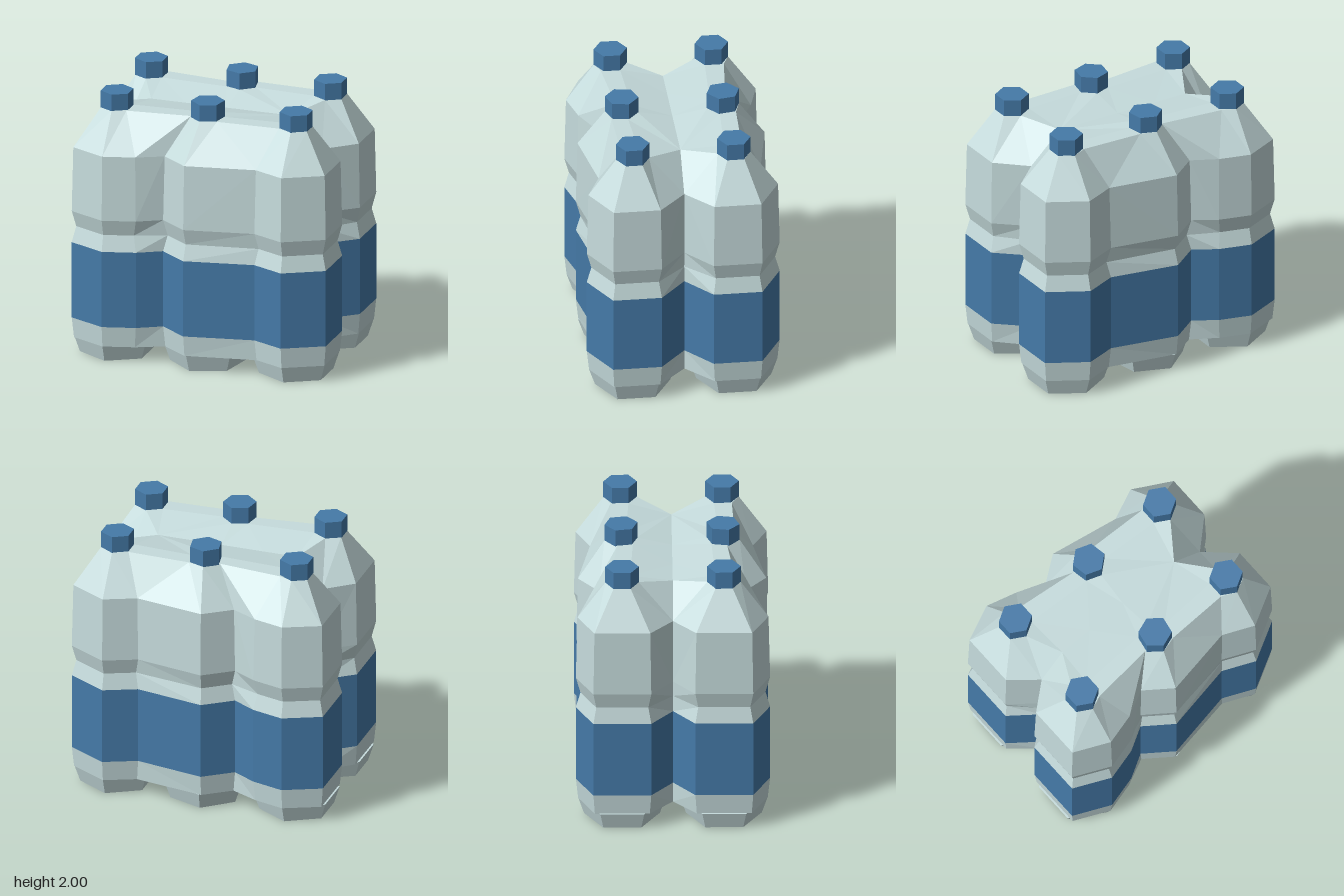
import * as THREE from 'three';

const wrap = new THREE.MeshStandardMaterial({ color: 0xc6dcdd, flatShading: true });
wrap.name = 'pale plastic';
const blue = new THREE.MeshStandardMaterial({ color: 0x457aa8, flatShading: true });
blue.name = 'label blue';

const DEPTH = 0.37; // z of each row of bottles
const CENTRES = [-0.7, 0, 0.68]; // x of the three bottles in a row
const NECK = 1.875;

// Outline of the front half: x, z, and the bottle it belongs to
const OUTLINE = [
  [-0.77, 0, 0], [-0.975, 0.16, 0], [-0.975, 0.58, 0], [-0.7, 0.705, 0],
  [-0.46, 0.64, 0], [-0.285, 0.54, 1], [-0.075, 0.695, 1], [0.44, 0.6, 2],
  [0.68, 0.705, 2], [0.97, 0.545, 2], [0.97, 0.19, 2], [0.75, 0, 2],
];

// Outline at a height, drawn in towards each bottle's centre
function ring(y, s) {
  return OUTLINE.map(([x, z, b]) => new THREE.Vector3(
    CENTRES[b] + (x - CENTRES[b]) * s, y, z === 0 ? 0 : DEPTH + (z - DEPTH) * s));
}

const level = (y, points) => points.map(([x, z]) => new THREE.Vector3(x, y, z));

// Adds the faces between two chains, plus their mirror image in z
function strip(out, low, high) {
  const tri = (a, b, c) => {
    if (a.equals(b) || b.equals(c) || a.equals(c)) return;
    for (const p of [a, b, c]) out.push(p.x, p.y, p.z);
    for (const p of [a, c, b]) out.push(p.x, p.y, -p.z);
  };
  for (let i = 0; i < low.length - 1; i++) {
    tri(low[i], low[i + 1], high[i + 1]);
    tri(low[i], high[i + 1], high[i]);
  }
}

function addMesh(parent, name, positions, material) {
  const g = new THREE.BufferGeometry();
  g.setAttribute('position', new THREE.Float32BufferAttribute(positions, 3));
  g.computeVertexNormals();
  const mesh = new THREE.Mesh(g, material);
  mesh.name = name;
  parent.add(mesh);
}

// Six-sided piece under or over every bottle; the middle ones are turned
function addHexes(parent, name, rTop, rBottom, y0, y1, material) {
  const g = new THREE.CylinderGeometry(rTop, rBottom, y1 - y0, 6);
  for (const side of [1, -1]) {
    CENTRES.forEach((x, i) => {
      const mesh = new THREE.Mesh(g, material);
      mesh.name = name;
      mesh.position.set(x, (y0 + y1) / 2, side * DEPTH);
      mesh.rotation.y = i === 1 ? -side * 0.18 : 0;
      parent.add(mesh);
    });
  }
}

export function createModel() {
  const model = new THREE.Group();
  model.name = 'bottlePack';

  const base = ring(0.125, 0.95);
  const bandLow = ring(0.28, 1), bandHigh = ring(0.86, 1);
  const shoulder = ring(1.59, 0.965);

  // Label band
  const band = [];
  strip(band, bandLow, bandHigh);
  addMesh(model, 'labelBand', band, blue);

  // Walls below and above the band, with the pinched waist
  const lower = [];
  strip(lower, base, bandLow);
  addMesh(model, 'lowerWall', lower, wrap);
  const upper = [];
  const levels = [bandHigh, ring(0.98, 0.9), ring(1.1, 1), shoulder];
  for (let i = 0; i < 3; i++) strip(upper, levels[i], levels[i + 1]);
  addMesh(model, 'upperWall', upper, wrap);

  // Underside between the feet
  const under = [];
  strip(under, base.map((p) => new THREE.Vector3(
    THREE.MathUtils.clamp(p.x, base[0].x, base[11].x), 0.125, 0)), base);
  addMesh(model, 'underside', under, wrap);

  // Sloping shoulders up to the necks
  const outer = level(NECK, [[-0.8, 0.43], [-0.7, 0.49], [-0.6, 0.45], [-0.12, 0.4],
    [-0.02, 0.49], [0.1, 0.455], [0.57, 0.44], [0.68, 0.49], [0.785, 0.435]]);
  const inner = level(NECK, [[-0.8, 0.31], [-0.7, 0.25], [-0.6, 0.31], [-0.09, 0.285],
    [0.02, 0.255], [0.12, 0.335], [0.57, 0.31], [0.68, 0.25], [0.785, 0.31]]);
  const slopes = [];
  strip(slopes, [0, 1, 2, 3, 4, 5, 6, 7, 7, 8, 9, 10, 11].map((i) => shoulder[i]),
    [inner[1], inner[0], ...outer, inner[8], inner[7]]);
  addMesh(model, 'shoulders', slopes, wrap);

  // Flat ridge along each row, and the valley between the rows
  const ridge = [];
  strip(ridge, outer, inner);
  addMesh(model, 'ridges', ridge, wrap);
  const [a, b, c, d] = level(1.82, [[-0.57, 0], [-0.31, 0], [0.01, 0], [0.5, 0]]);
  const valley = [];
  strip(valley, [1, 1, 2, 3, 4, 5, 6, 7, 7].map((i) => inner[i]),
    [shoulder[0], a, a, b, c, d, d, d, shoulder[11]]);
  addMesh(model, 'valley', valley, wrap);

  // Bottle feet and caps
  addHexes(model, 'foot', 0.318, 0.275, 0, 0.126, wrap);
  addHexes(model, 'cap', 0.122, 0.122, NECK - 0.005, 2, blue);
  return model;
}
